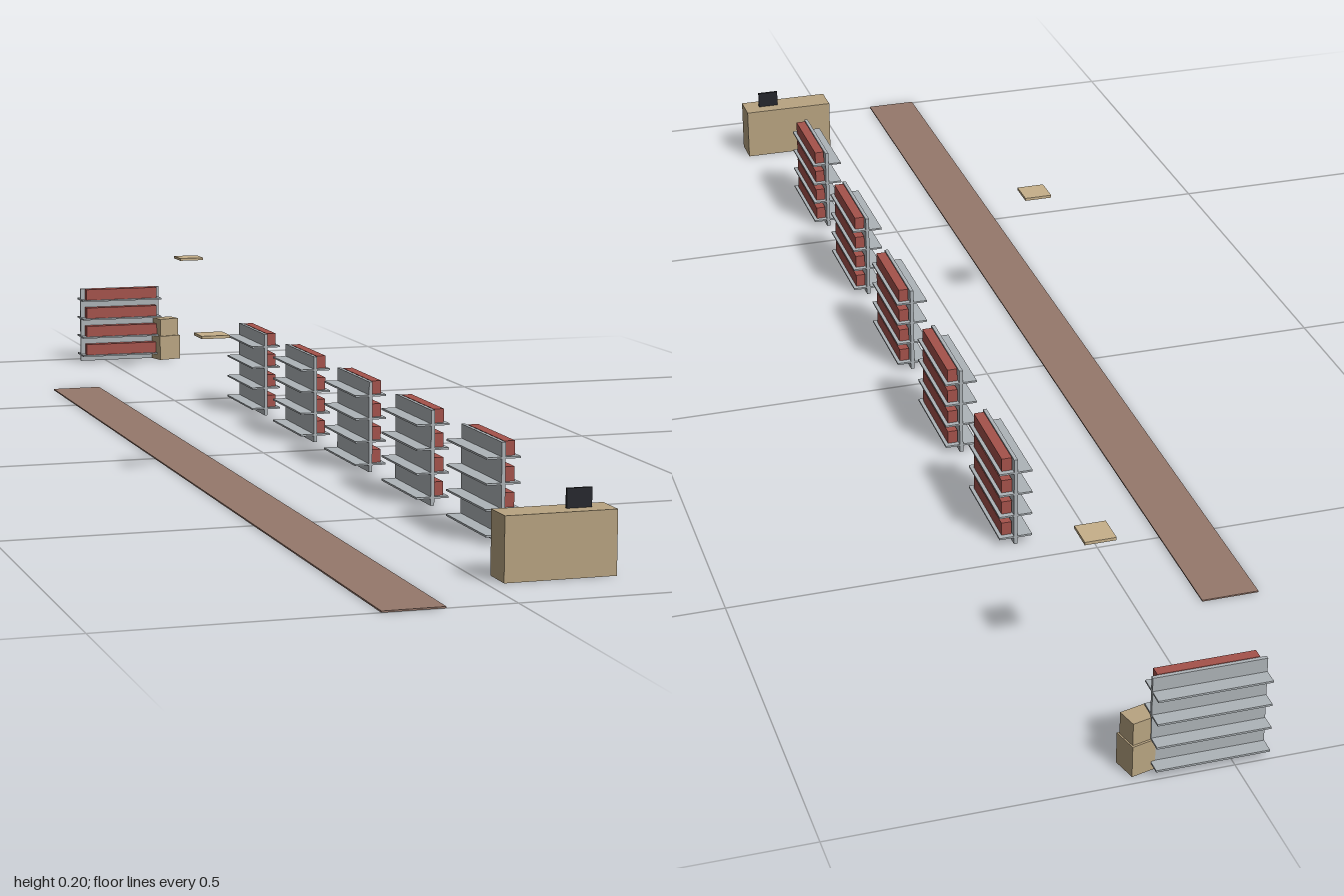
import * as THREE from 'three';

const mat = (name, color) => {
  const m = new THREE.MeshStandardMaterial({ color });
  m.name = name;
  return m;
};

export function createModel() {
  const steel = mat('shelf grey', 0xaeb4b8);
  const red = mat('goods red', 0xa5524b);
  const tan = mat('counter tan', 0xb8a481);
  const card = mat('pale tan', 0xc6b08a);
  const brown = mat('floor brown', 0x96786b);
  const dark = mat('screen black', 0x25262c);

  const model = new THREE.Group();
  model.name = 'shopInterior';

  // Box given by size and by the centre of its base
  const box = (parent, name, material, w, h, d, x, y, z) => {
    const mesh = new THREE.Mesh(new THREE.BoxGeometry(w, h, d), material);
    mesh.name = name;
    mesh.position.set(x, y + h / 2, z);
    parent.add(mesh);
    return mesh;
  };

  // Two-sided shelf unit, stocked on its +z side only
  const shelfUnit = (x, z, turn) => {
    const unit = new THREE.Group();
    unit.name = 'shelfUnit';
    box(unit, 'centrePanel', steel, 0.142, 0.128, 0.005, 0, 0, 0);
    for (let i = 0; i < 4; i++) {
      const y = 0.0095 + i * 0.0325;
      box(unit, 'shelfBoard', steel, 0.142, 0.0025, 0.045, 0, y, 0);
      box(unit, 'shelfGoods', red, 0.127, 0.0185, 0.014, 0, y + 0.0025, 0.0105);
    }
    unit.position.set(x, 0, z);
    unit.rotation.y = turn;
    model.add(unit);
  };

  // Row of five aisle units, and one across the back
  for (let i = 0; i < 5; i++) shelfUnit(0.1, 0.625 - i * 0.2535, Math.PI / 2);
  shelfUnit(0.027, -0.977, 0);

  // Floor strip
  box(model, 'floorStrip', brown, 0.077, 0.002, 1.662, -0.125, 0, 0.169);

  // Counter with screen
  box(model, 'counter', tan, 0.142, 0.08, 0.044, 0.092, 0, 0.88);
  box(model, 'screen', dark, 0.032, 0.024, 0.004, 0.1225, 0.08, 0.88);

  // Stacked cartons beside the back unit
  box(model, 'lowerCarton', tan, 0.04, 0.042, 0.034, 0.108, 0, -0.966).rotation.y = 0.25;
  box(model, 'upperCarton', tan, 0.036, 0.03, 0.028, 0.108, 0.042, -0.966).rotation.y = 0.25;

  // Ceiling lamps
  box(model, 'ceilingLamp', card, 0.04, 0.004, 0.04, -0.125, 0.198, 0.17);
  box(model, 'ceilingLamp', card, 0.04, 0.004, 0.04, 0.098, 0.198, -0.77);

  return model;
}
